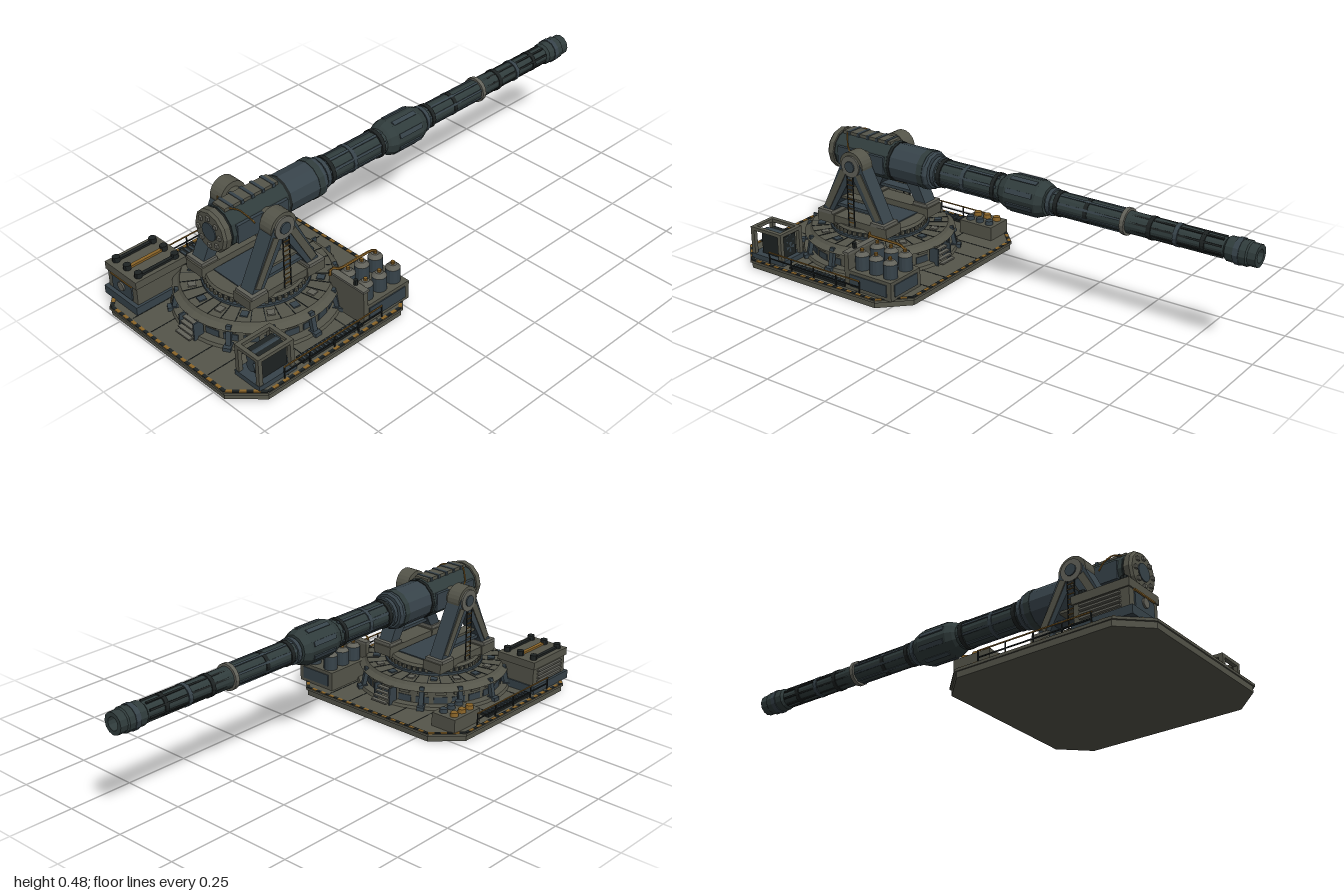
import * as THREE from 'three';

const mat = (name, color) => new THREE.MeshStandardMaterial({ name, color, flatShading: true });

export function createModel() {
  const olive = mat('olive grey', 0x55554a), pale = mat('pale olive', 0x62625a), steel = mat('blue steel', 0x37434a);
  const gun = mat('gun metal', 0x303c3c), dark = mat('near black', 0x1d2222), amber = mat('amber', 0x8a6428);
  const model = new THREE.Group();
  model.name = 'fortressGun';
  const mount = new THREE.Group(); // everything is built around the turntable axis
  mount.name = 'emplacement';
  mount.position.z = 0.595;
  model.add(mount);

  const add = (name, geo, m, x = 0, y = 0, z = 0, parent = mount) => {
    const mesh = new THREE.Mesh(geo, m);
    mesh.name = name;
    mesh.position.set(x, y, z);
    parent.add(mesh);
    return mesh;
  };
  // box given by its limits
  const box = (name, m, x0, x1, y0, y1, z0, z1, parent) =>
    add(name, new THREE.BoxGeometry(x1 - x0, y1 - y0, z1 - z0), m, (x0 + x1) / 2, (y0 + y1) / 2, (z0 + z1) / 2, parent);
  // upright cylinder from y0 to y1
  const drum = (name, m, rTop, rBot, y0, y1, n = 32, x = 0, z = 0) =>
    add(name, new THREE.CylinderGeometry(rTop, rBot, y1 - y0, n), m, x, (y0 + y1) / 2, z);
  const pipe = (name, m, pts, r = 0.004) =>
    add(name, new THREE.TubeGeometry(new THREE.CatmullRomCurve3(pts.map(p => new THREE.Vector3(...p)), false, 'catmullrom', 0.1), 12, r, 6), m);
  // copies of a part around the turntable axis
  const around = (name, n, make, skip = () => false) => {
    for (let i = 0; i < n; i++) {
      if (skip(i)) continue;
      const g = new THREE.Group();
      g.name = name;
      g.rotation.y = (i / n) * Math.PI * 2;
      mount.add(g);
      make(g, i);
    }
  };

  // base plate: chamfered square with a wider rim
  const plate = (name, m, h, c, y0, y1) => {
    const p = [[h, c], [c, h], [-c, h], [-h, c], [-h, -c], [-c, -h], [c, -h], [h, -c]];
    const geo = new THREE.ExtrudeGeometry(new THREE.Shape(p.map(q => new THREE.Vector2(...q))), { depth: y1 - y0, bevelEnabled: false });
    add(name, geo.rotateX(-Math.PI / 2), m, 0, y0, 0);
    return p;
  };
  plate('basePlate', olive, 0.4, 0.3, 0, 0.022);
  plate('baseRim', olive, 0.405, 0.305, 0.022, 0.031);
  // hazard dashes along the rim
  const rim = [[0.397, 0.3], [0.3, 0.397], [-0.3, 0.397], [-0.397, 0.3], [-0.397, -0.3], [-0.3, -0.397], [0.3, -0.397], [0.397, -0.3]];
  rim.forEach(([ax, az], k) => {
    const [bx, bz] = rim[(k + 1) % 8], len = Math.hypot(bx - ax, bz - az), n = Math.round(len / 0.022);
    for (let i = 0; i < n; i++) {
      const t = (i + 0.5) / n;
      const d = add('hazardDash', new THREE.BoxGeometry(len / n, 0.003, 0.012), i % 2 ? amber : dark, ax + (bx - ax) * t, 0.032, az + (bz - az) * t);
      d.rotation.y = -Math.atan2(bz - az, bx - ax);
    }
  });
  // deck seams
  for (const s of [-1, 1]) for (const v of [0.1, 0.2]) {
    box('deckSeam', dark, v * s - 0.0015, v * s + 0.0015, 0.031, 0.032, -0.385, 0.385);
    box('deckSeam', dark, -0.385, 0.385, 0.031, 0.032, v * s - 0.0015, v * s + 0.0015);
  }

  // fixed ring under the turntable
  drum('ringFoot', olive, 0.295, 0.3, 0.031, 0.042, 48);
  drum('ringWall', olive, 0.265, 0.265, 0.042, 0.1, 48);
  drum('ringLip', olive, 0.27, 0.29, 0.1, 0.113, 48);
  drum('ringDeck', olive, 0.262, 0.27, 0.113, 0.125, 48);
  around('wallPanel', 24, g => {
    box('panel', steel, -0.026, 0.026, 0.045, 0.07, 0.255, 0.267, g);
    box('bracket', olive, -0.02, 0.02, 0.082, 0.098, 0.26, 0.273, g);
  });
  around('buttress', 12, g => {
    box('strut', steel, -0.009, 0.009, 0.031, 0.115, 0.275, 0.291, g).rotation.x = -0.2;
    box('strutFoot', steel, -0.014, 0.014, 0.031, 0.045, 0.275, 0.312, g);
  }, i => i % 6 === 0);
  around('deckPlate', 32, (g, i) => {
    box('seam', dark, -0.0015, 0.0015, 0.124, 0.1265, 0.19, 0.262, g);
    if (i % 2) box('hatch', i % 4 === 1 ? pale : steel, 0.008, 0.034, 0.124, 0.13, 0.208, 0.236, g);
  });
  // boarding steps front and back
  for (const s of [-1, 1]) {
    for (let i = 0; i < 5; i++) {
      const z = s * (0.322 - i * 0.011);
      box('step', pale, -0.036, 0.036, 0.04 + i * 0.014, 0.046 + i * 0.014, z - 0.008, z + 0.008);
    }
    for (const x of [-0.037, 0.037]) box('stringer', steel, x - 0.003, x + 0.003, 0.031, 0.1, s * 0.29 - 0.02, s * 0.29 + 0.02);
  }

  // slewing ring and rotating platform
  drum('slewBase', steel, 0.19, 0.19, 0.125, 0.134, 40);
  drum('slewCore', dark, 0.177, 0.177, 0.134, 0.15, 40);
  around('gearTooth', 48, g => box('tooth', olive, -0.006, 0.006, 0.136, 0.149, 0.17, 0.185, g));
  drum('platform', olive, 0.172, 0.178, 0.15, 0.16, 40);
  box('platformPad', steel, -0.08, 0.08, 0.16, 0.164, -0.12, 0.12);

  // A-frame cheeks with trunnion bearings
  const frame = new THREE.Shape([[-0.155, 0.185], [-0.105, 0.185], [0, 0.36], [0.105, 0.185], [0.155, 0.185], [0.042, 0.415], [-0.042, 0.415]].map(q => new THREE.Vector2(...q)));
  const frameGeo = new THREE.ExtrudeGeometry(frame, { depth: 0.06, bevelEnabled: false }).rotateY(-Math.PI / 2).translate(0.03, 0, 0);
  const axle = (name, m, r, x0, x1, n = 24) =>
    add(name, new THREE.CylinderGeometry(r, r, x1 - x0, n).rotateZ(Math.PI / 2), m, (x0 + x1) / 2, 0.4, 0);
  for (const s of [-1, 1]) {
    const ax = (name, m, r, a, b, n) => axle(name, m, r, Math.min(s * a, s * b), Math.max(s * a, s * b), n);
    const bx = (name, m, a, b, ...r) => box(name, m, Math.min(s * a, s * b), Math.max(s * a, s * b), ...r);
    add('cheekFrame', frameGeo, steel, s * 0.126);
    bx('cheekSill', olive, 0.085, 0.162, 0.155, 0.185, -0.125, 0.125);
    for (const z of [-1, 1]) {
      bx('cheekFoot', olive, 0.082, 0.166, 0.15, 0.188, z * 0.128 - 0.04, z * 0.128 + 0.04);
      bx('cheekShoe', pale, 0.088, 0.17, 0.188, 0.201, z * 0.128 - 0.034, z * 0.128 + 0.034);
      const edge = bx('legPlate', olive, 0.155, 0.16, 0.2, 0.385, z * 0.08 - 0.013, z * 0.08 + 0.013);
      edge.rotation.x = -z * 0.5;
    }
    bx('crossBar', steel, 0.105, 0.148, 0.222, 0.234, -0.09, 0.09);
    bx('crossBar', olive, 0.105, 0.148, 0.258, 0.268, -0.07, 0.07);
    ax('trunnionBearing', olive, 0.055, 0.098, 0.155);
    ax('trunnionCap', pale, 0.042, 0.155, 0.162);
    ax('trunnionHub', steel, 0.022, 0.162, 0.167, 12);
    ax('trunnionShaft', olive, 0.035, 0.06, 0.1);
    // ladder on the outside of the cheek
    for (const z of [-0.014, 0.014]) bx('ladderRail', dark, 0.163, 0.166, 0.16, 0.36, z - 0.002, z + 0.002);
    for (let i = 0; i < 10; i++) bx('ladderRung', amber, 0.163, 0.166, 0.175 + i * 0.019, 0.178 + i * 0.019, -0.014, 0.014);
  }

  // gun: faceted bodies of revolution along z, profile given as [z, radius]
  const AXIS = 0.396;
  const gunPart = (name, m, prof, n = 16) =>
    add(name, new THREE.LatheGeometry(prof.map(([z, r]) => new THREE.Vector2(r, -z)), n).rotateX(-Math.PI / 2), m, 0, AXIS, 0);
  const ring = (name, m, z0, z1, r, n) => gunPart(name, m, [[z1, 0], [z1, r], [z0, r], [z0, 0]], n);
  gunPart('breechCap', olive, [[0.185, 0], [0.185, 0.072], [0.176, 0.08], [0.155, 0.08], [0.155, 0]], 12);
  ring('breechGroove', dark, 0.145, 0.156, 0.073, 12);
  ring('breechBody', gun, -0.1, 0.146, 0.077, 12);
  ring('breechPlug', steel, 0.18, 0.189, 0.034, 20);
  for (let i = 0; i < 8; i++) {
    const a = i * Math.PI / 4;
    add('breechBolt', new THREE.BoxGeometry(0.014, 0.014, 0.01), pale, Math.sin(a) * 0.053, AXIS + Math.cos(a) * 0.053, 0.188);
  }
  box('breechSpine', olive, -0.03, 0.03, 0.46, 0.477, -0.09, 0.14);
  for (let i = 0; i < 5; i++) box('spineRib', steel, -0.034, 0.034, 0.465, 0.479, -0.075 + i * 0.045, -0.063 + i * 0.045);
  for (const s of [-1, 1]) {
    box('breechSide', steel, s * 0.07 - 0.01, s * 0.07 + 0.01, 0.36, 0.43, -0.09, 0.13);
    pipe('breechHose', amber, [[s * 0.03, 0.472, 0.12], [s * 0.055, 0.468, 0.1], [s * 0.078, 0.44, 0.08], [s * 0.082, 0.41, 0.06]], 0.003);
  }
  gunPart('recoilSleeve', steel, [[-0.1, 0], [-0.1, 0.073], [-0.275, 0.073], [-0.285, 0.066], [-0.285, 0]], 12);
  ring('sleeveBand', dark, -0.112, -0.1, 0.076, 12);
  ring('sleeveBand', gun, -0.265, -0.24, 0.075, 12);
  gunPart('innerBarrel', gun, [[-0.28, 0.05], [-0.6, 0.048]]);
  gunPart('muff', gun, [[-0.585, 0.045], [-0.6, 0.058], [-0.625, 0.068], [-0.755, 0.068], [-0.785, 0.055], [-0.785, 0.04]], 12);
  gunPart('outerBarrel', gun, [[-0.78, 0.043], [-1.1, 0.04], [-1.49, 0.033]]);
  gunPart('muzzle', gun, [[-1.475, 0.032], [-1.485, 0.043], [-1.56, 0.045], [-1.565, 0.04], [-1.595, 0.04], [-1.595, 0.024], [-1.53, 0.024], [-1.53, 0]], 12);
  ring('bore', dark, -1.54, -1.532, 0.0235, 12);
  ring('muzzleBand', steel, -1.535, -1.515, 0.047, 12);
  // barrel collars
  for (const [z, r, m] of [[-0.3, 0.059, steel], [-0.325, 0.055, dark], [-0.43, 0.053, steel], [-0.565, 0.055, dark], [-0.8, 0.05, steel],
    [-0.83, 0.047, dark], [-0.95, 0.044, dark], [-1.1, 0.049, pale], [-1.2, 0.042, dark], [-1.3, 0.041, steel], [-1.4, 0.039, dark]])
    ring('barrelCollar', m, z - 0.008, z + 0.008, r, 16);
  // lengthwise ribs
  for (let i = 0; i < 8; i++) {
    const a = (i + 0.5) * Math.PI / 4;
    const rib = (m, z0, z1, r, w) => {
      const b = add('barrelRib', new THREE.BoxGeometry(w, 0.008, z1 - z0), m, Math.sin(a) * r, AXIS + Math.cos(a) * r, (z0 + z1) / 2);
      b.rotation.z = -a;
    };
    rib(steel, -0.58, -0.29, 0.048, 0.01);
    rib(steel, -0.745, -0.635, 0.066, 0.018);
    rib(steel, -1.09, -0.79, 0.04, 0.008);
    rib(dark, -1.47, -1.11, 0.035, 0.007);
  }

  // power cabinet, front on -x
  box('cabinetPlinth', steel, -0.382, -0.2, 0.031, 0.063, 0.14, 0.365);
  box('cabinetBody', olive, -0.372, -0.21, 0.063, 0.132, 0.145, 0.35);
  box('cabinetTop', olive, -0.378, -0.205, 0.132, 0.162, 0.14, 0.355);
  box('cabinetDoor', steel, -0.345, -0.235, 0.07, 0.125, 0.345, 0.355);
  box('cabinetLamp', amber, -0.348, -0.232, 0.128, 0.133, 0.35, 0.358);
  add('cabinetDial', new THREE.CylinderGeometry(0.017, 0.017, 0.008, 16).rotateX(Math.PI / 2), pale, -0.29, 0.104, 0.357);
  [-0.352, -0.29, -0.228].forEach((x, i) => {
    box('roofRail', i === 1 ? amber : dark, x - 0.007, x + 0.007, 0.162, 0.17, 0.17, 0.325);
    for (const z of [0.17, 0.325]) drum('roofStud', dark, 0.014, 0.014, 0.162, 0.181, 10, x, z);
  });
  for (let i = 0; i < 4; i++) box('louver', pale, -0.382, -0.37, 0.072 + i * 0.015, 0.079 + i * 0.015, 0.17, 0.32);

  // generator in an open frame, front on +x
  box('generatorBase', steel, 0.258, 0.38, 0.031, 0.05, 0.16, 0.32);
  for (const x of [0.27, 0.37]) for (const z of [0.175, 0.31]) box('generatorPost', olive, x - 0.008, x + 0.008, 0.05, 0.155, z - 0.008, z + 0.008);
  for (const z of [0.175, 0.31]) box('generatorBeam', olive, 0.262, 0.378, 0.145, 0.158, z - 0.008, z + 0.008);
  for (const x of [0.27, 0.37]) box('generatorBeam', olive, x - 0.008, x + 0.008, 0.145, 0.158, 0.175, 0.31);
  box('generatorCore', dark, 0.285, 0.355, 0.05, 0.135, 0.18, 0.285);
  for (const y of [0.085, 0.117]) add('generatorDrum', new THREE.CylinderGeometry(0.02, 0.02, 0.12, 14).rotateX(Math.PI / 2), steel, 0.315, y, 0.24);

  // tank rack, back on +x
  box('rackBase', olive, 0.21, 0.378, 0.031, 0.105, -0.36, -0.15);
  box('rackWall', olive, 0.21, 0.378, 0.031, 0.172, -0.165, -0.145);
  box('rackCoping', pale, 0.207, 0.381, 0.166, 0.175, -0.168, -0.142);
  box('rackPanel', steel, 0.377, 0.382, 0.045, 0.092, -0.34, -0.17);
  box('rackPanel', steel, 0.23, 0.36, 0.045, 0.092, -0.364, -0.358);
  for (const x of [0.25, 0.335]) for (const z of [-0.325, -0.26, -0.195]) {
    drum('tank', steel, 0.027, 0.027, 0.105, 0.16, 14, x, z);
    drum('tankShoulder', pale, 0.014, 0.027, 0.16, 0.174, 14, x, z);
    drum('tankValve', amber, 0.007, 0.007, 0.174, 0.184, 8, x, z);
  }
  pipe('tankPipe', amber, [[0.25, 0.182, -0.325], [0.25, 0.195, -0.3], [0.25, 0.195, -0.16], [0.225, 0.195, -0.14], [0.225, 0.165, -0.135]], 0.005);
  drum('rackVent', dark, 0.008, 0.008, 0.172, 0.195, 8, 0.33, -0.155);

  // ammunition locker, back on -x
  box('locker', olive, -0.372, -0.265, 0.031, 0.085, -0.335, -0.185);
  for (let i = 0; i < 6; i++) drum('lockerCap', i % 2 ? steel : amber, 0.014, 0.016, 0.085, 0.1, 12, -0.345 + (i % 2) * 0.05, -0.305 + Math.floor(i / 2) * 0.045);

  // side catwalks and handrails
  for (const s of [-1, 1]) {
    box('catwalk', dark, s * 0.36 - 0.018, s * 0.36 + 0.018, 0.031, 0.04, -0.14, 0.13);
    for (let i = 0; i < 14; i++) box('catwalkSlat', steel, s * 0.36 - 0.016, s * 0.36 + 0.016, 0.04, 0.043, -0.135 + i * 0.019, -0.127 + i * 0.019);
    for (let i = 0; i < 5; i++) box('railPost', dark, s * 0.388 - 0.002, s * 0.388 + 0.002, 0.031, 0.08, -0.222 + i * 0.11, -0.218 + i * 0.11);
    for (const y of [0.055, 0.079]) box('handrail', y > 0.06 ? amber : dark, s * 0.388 - 0.002, s * 0.388 + 0.002, y - 0.002, y + 0.002, -0.222, 0.222);
  }
  return model;
}
